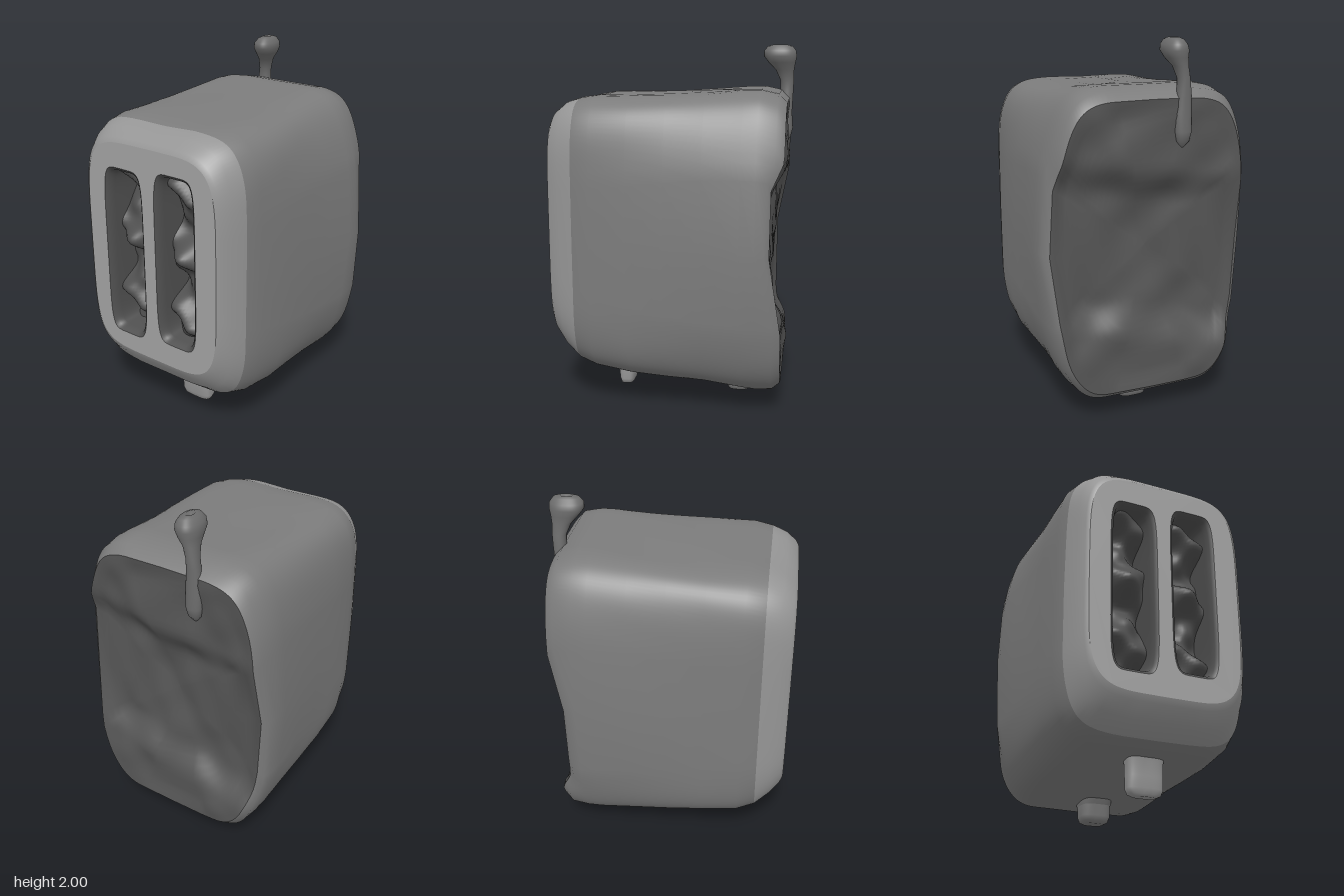
import * as THREE from 'three';

const N = 88;
const grey = color => new THREE.MeshStandardMaterial({ color, side: THREE.DoubleSide });
const faceGrey = grey(0xa2a2a2), rimGrey = grey(0x969696), bodyGrey = grey(0x7c7c7c);
const backGrey = grey(0x565656), slotGrey = grey(0x505050), leverGrey = grey(0x6c6c6c);

// Superellipse outline, counter-clockwise: centre, half sizes, squareness
function outline(cx, cy, hw, hh, n) {
  const points = [];
  for (let j = 0; j < N; j++) {
    const t = (j / N) * Math.PI * 2, c = Math.cos(t), s = Math.sin(t);
    points.push(new THREE.Vector2(
      cx + hw * Math.sign(c) * Math.abs(c) ** (2 / n),
      cy + hh * Math.sign(s) * Math.abs(s) ** (2 / n)));
  }
  return points;
}

// Closed rings of Vector3 joined into one smooth skin
function loft(rings) {
  const index = [];
  for (let i = 0; i < rings.length - 1; i++) {
    for (let j = 0; j < N; j++) {
      const k = (j + 1) % N;
      const a = i * N + j, b = i * N + k, c = a + N, d = b + N;
      index.push(a, c, b, b, c, d);
    }
  }
  const g = new THREE.BufferGeometry().setFromPoints(rings.flat());
  g.setIndex(index);
  g.computeVertexNormals();
  return g;
}

const atZ = (points, z) => points.map(p => new THREE.Vector3(p.x, p.y, z));
const smooth = (a, b, v) => THREE.MathUtils.smoothstep(v, a, b);
const lumps = (x, y, z) =>
  Math.sin(9 * x + 2 * z + 1) * Math.sin(8 * y - 4 * z)
  + 0.5 * Math.sin(19 * x + 3 * y) * Math.sin(17 * y - 5 * x + 9 * z);

// How far the rough back stands out: a ledge above, a lump below, sunken between
const backRelief = (x, y) => Math.max(
  smooth(1.17, 1.36, y - 0.15 * x), 1 - smooth(0.4, 0.6, y - 0.25 * x));

// Horizontal ellipses stacked from bottom to top: [y, cx, cz, rx, rz]
function stack(sections, n) {
  return loft(sections.map(([y, cx, cz, rx, rz]) =>
    outline(cx, cz, rx, rz, n).map(p => new THREE.Vector3(p.x, y, p.y))));
}

export function createModel() {
  const model = new THREE.Group();
  const add = (geometry, material, name) => {
    const mesh = new THREE.Mesh(geometry, material);
    mesh.name = name;
    model.add(mesh);
  };

  // Body sections from front to back: [z, left x, right x, bottom, top, squareness]
  const sections = [
    [0.65, -0.45, 0.41, 0.41, 1.625, 5],
    [0.635, -0.47, 0.43, 0.375, 1.65, 5],
    [0.58, -0.495, 0.46, 0.30, 1.69, 5],
    [0.50, -0.525, 0.49, 0.235, 1.715, 5.2],
    [0.40, -0.545, 0.515, 0.20, 1.73, 5.5],
    [0.20, -0.555, 0.535, 0.17, 1.735, 6],
    [0, -0.565, 0.55, 0.155, 1.74, 6.6],
    [-0.2, -0.58, 0.565, 0.14, 1.75, 7],
    [-0.40, -0.59, 0.583, 0.115, 1.765, 7],
    [-0.48, -0.583, 0.58, 0.108, 1.765, 7],
    [-0.53, -0.568, 0.568, 0.115, 1.745, 7],
    [-0.555, -0.535, 0.54, 0.15, 1.70, 6.5],
  ];
  const sectionOutline = ([, l, r, b, t, n]) =>
    outline((l + r) / 2, (b + t) / 2, (r - l) / 2, (t - b) / 2, n);
  const rings = sections.map((s, i) => atZ(sectionOutline(s), s[0]).map(p => {
    if (i > 1) {
      // sides belly out towards the back, with slight unevenness
      const v = (p.y - 0.95) / 0.82, belly = 1 - smooth(-0.4, 0.58, p.z);
      const k = 1 + 0.006 * lumps(p.x, p.y, p.z);
      p.x *= k * (1 - (p.x > 0 ? 0.25 : 0.18) * belly * v * v);
      p.y = 0.94 + (p.y - 0.94) * k;
    }
    if (i > 9) p.z -= (i === 10 ? 0.045 : 0.065) * backRelief(p.x, p.y);
    return p;
  }));
  const shell = loft(rings), shellIndex = Array.from(shell.index.array), split = 3 * N * 6;
  add(shell.clone().setIndex(shellIndex.slice(0, split)), rimGrey, 'frontRim');
  add(shell.clone().setIndex(shellIndex.slice(split)), bodyGrey, 'body');

  // Rough back panel
  const rim = rings[rings.length - 1];
  const backRings = [];
  for (let i = 0; i <= 20; i++) {
    const s = 1 - i / 20;
    backRings.push(rim.map(p => {
      const x = p.x * s, y = 0.93 + (p.y - 0.93) * s;
      const z = -0.535 - 0.075 * backRelief(x, y) + 0.018 * lumps(x, y, 0);
      return new THREE.Vector3(x, y, THREE.MathUtils.lerp(p.z, z, smooth(0, 0.12, 1 - s)));
    }));
  }
  add(loft(backRings), backGrey, 'backPanel');

  // Front face with two slots, each with a lumpy filling
  const face = new THREE.Shape(sectionOutline(sections[0]));
  [[-0.2, 1.0], [0.145, 1.03]].forEach(([cx, cy], side) => {
    const slot = grow => outline(cx, cy, 0.108 + grow, 0.46 + grow, 6);
    face.holes.push(new THREE.Path(slot(0.025).reverse()));
    const wall = [[0.38, -0.01], [0.5, -0.005], [0.6, 0], [0.635, 0.008], [0.65, 0.025]]
      .map(([z, grow]) => atZ(slot(grow), z));
    add(loft(wall), slotGrey, 'slotWall');

    const filling = new THREE.PlaneGeometry(0.23, 0.94, 16, 64);
    const p = filling.attributes.position;
    for (let i = 0; i < p.count; i++) {
      const x = p.getX(i), y = p.getY(i);
      const bump = Math.sin(17 * y + 5 * x + side * 1.6)
        + 0.6 * Math.sin(31 * y + side) * Math.cos(22 * x + 4 * y) + 0.4 * Math.cos(24 * x);
      p.setXYZ(i, x + cx, y + cy, 0.515 + 0.055 * bump);
    }
    filling.computeVertexNormals();
    add(filling, slotGrey, 'slotFilling');
  });
  const faceGeometry = new THREE.ShapeGeometry(face);
  faceGeometry.translate(0, 0, 0.65);
  add(faceGeometry, faceGrey, 'frontFace');

  // Lever running up the back, flaring into a knob
  add(stack([
    [1.44, -0.17, -0.59, 0.005, 0.005],
    [1.48, -0.17, -0.60, 0.035, 0.03],
    [1.53, -0.17, -0.605, 0.045, 0.036],
    [1.62, -0.17, -0.60, 0.045, 0.034],
    [1.74, -0.172, -0.602, 0.036, 0.036],
    [1.80, -0.168, -0.602, 0.032, 0.038],
    [1.86, -0.155, -0.588, 0.038, 0.052],
    [1.90, -0.14, -0.572, 0.055, 0.075],
    [1.935, -0.134, -0.562, 0.066, 0.092],
    [1.965, -0.132, -0.56, 0.06, 0.09],
    [1.99, -0.13, -0.56, 0.042, 0.07],
    [2.0, -0.13, -0.56, 0.02, 0.035],
    [1.985, -0.13, -0.56, 0.001, 0.001],
  ], 2.2), leverGrey, 'lever');

  // Two feet under the body: [x, z, half width, half depth, attach height]
  [[0.005, 0.3, 0.1, 0.045, 0.23, rimGrey, 'frontFoot'],
    [0.01, -0.37, 0.085, 0.072, 0.16, bodyGrey, 'backFoot']]
    .forEach(([x, z, rx, rz, top, material, name]) => add(stack([
      [0.004, x, z, 0.001, 0.001],
      [0, x, z, rx * 0.6, rz * 0.55],
      [0.012, x, z, rx * 0.88, rz * 0.85],
      [0.04, x, z, rx, rz],
      [0.1, x, z, rx * 0.98, rz * 1.15],
      [top - 0.06, x, z, rx, rz * 1.2],
      [top, x, z, rx * 1.1, rz * 1.6],
    ], 3.5), material, name));

  return model;
}
